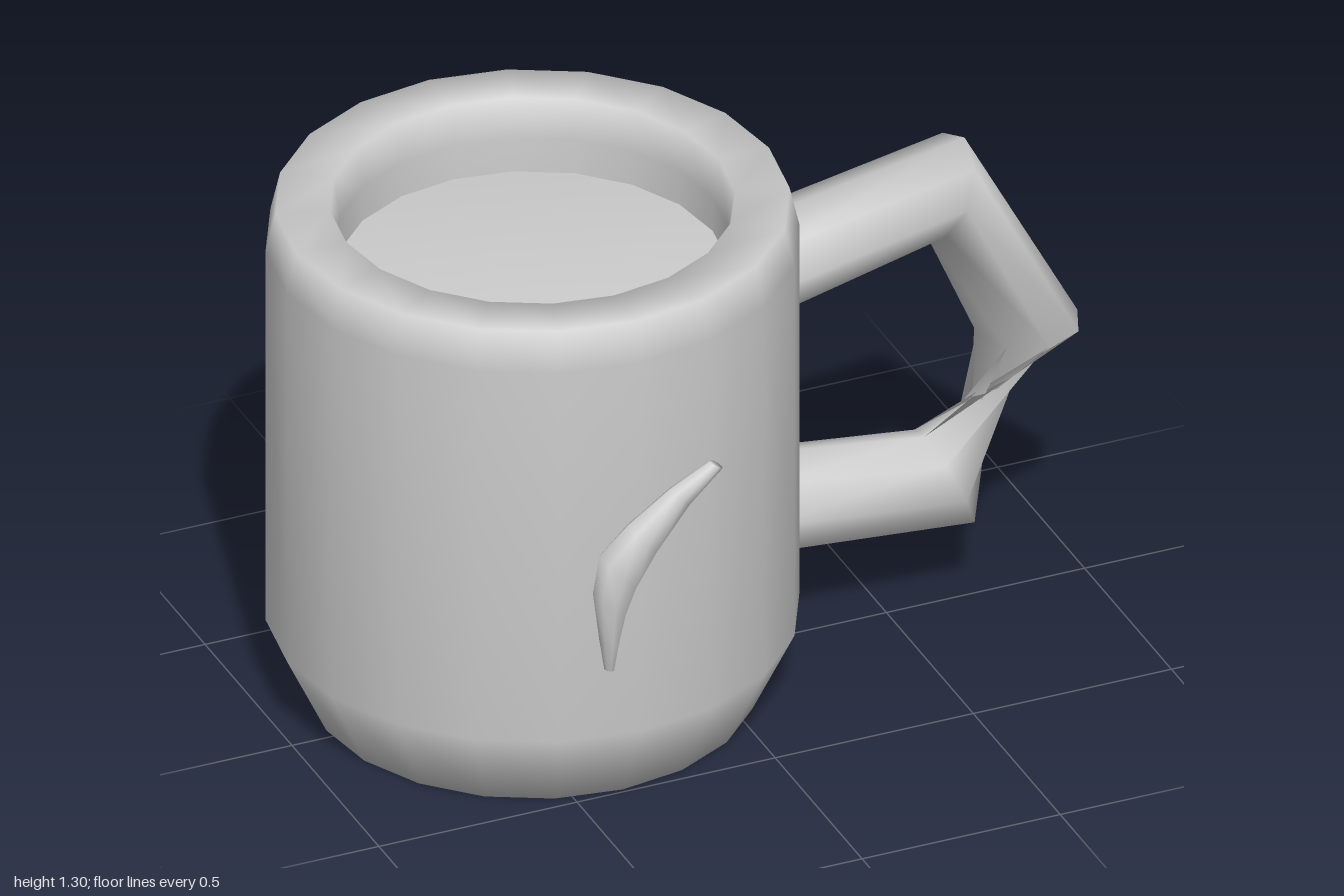
import * as THREE from 'three';

const SIDES = 8;

// Smooth tube through rings: [outerX, outerY, innerX, innerY, z, depth, turn]
function loft(rings) {
  const pos = [], idx = [];
  for (const [ox, oy, ix, iy, z, depth, turn = 0] of rings) {
    const cx = (ox + ix) / 2, cy = (oy + iy) / 2;
    for (let j = 0; j < SIDES; j++) {
      const a = (j / SIDES) * Math.PI * 2 + turn;
      const c = Math.cos(a);
      pos.push(cx + c * (ox - cx), cy + c * (oy - cy), z + Math.sin(a) * depth);
    }
  }
  const n = rings.length;
  for (let i = 0; i < n - 1; i++) {
    for (let j = 0; j < SIDES; j++) {
      const k = (j + 1) % SIDES;
      const a = i * SIDES + j, b = i * SIDES + k;
      idx.push(a, b, a + SIDES, b, b + SIDES, a + SIDES);
    }
  }
  // end caps
  const last = (n - 1) * SIDES;
  for (let j = 1; j < SIDES - 1; j++) {
    idx.push(0, j + 1, j, last, last + j, last + j + 1);
  }
  const g = new THREE.BufferGeometry();
  g.setAttribute('position', new THREE.Float32BufferAttribute(pos, 3));
  g.setIndex(idx);
  g.computeVertexNormals();
  return g;
}

function turned(profile) {
  return new THREE.LatheGeometry(profile.map(([r, y]) => new THREE.Vector2(r, y)), 20);
}

export function createModel() {
  const group = new THREE.Group();
  const clay = new THREE.MeshStandardMaterial({ color: 0xcccccc, side: THREE.DoubleSide });
  clay.name = 'light grey';

  const add = (name, geometry, x = 0, z = 0) => {
    const mesh = new THREE.Mesh(geometry, clay);
    mesh.name = name;
    mesh.position.set(x, 0, z);
    group.add(mesh);
  };

  // Mug wall, with chamfered foot and thick rim
  add('mugBody', turned([
    [0, 0], [0.52, 0], [0.62, 0.21], [0.62, 1.2], [0.597, 1.3],
    [0.47, 1.3], [0.455, 1.2], [0.455, 1.05],
  ]), -0.38, -0.03);

  // Drink filling the mug
  add('drink', turned([[0.455, 1.05], [0.455, 1.11], [0, 1.11]]), -0.38, -0.03);

  // Angular handle, pinched by a half turn above its lower arm
  const z = -0.03, w = 0.13;
  add('handle', loft([
    [0.15, 1.112, 0.15, 0.86, z, w],
    [0.71, 1.21, 0.61, 0.98, z, w],
    [0.995, 0.68, 0.74, 0.68, z, w],
    [0.71, 0.195, 0.61, 0.43, z, w, Math.PI],
    [0.15, 0.237, 0.15, 0.49, z, w, Math.PI],
  ]));

  // Raised crescent on the front
  add('crescent', loft([
    [-0.2, 0.887, -0.17, 0.868, 0.582, -0.018],
    [-0.31, 0.848, -0.26, 0.8, 0.6, -0.025],
    [-0.42, 0.785, -0.35, 0.7, 0.613, -0.037],
    [-0.495, 0.72, -0.4, 0.615, 0.615, -0.04],
    [-0.508, 0.62, -0.425, 0.55, 0.61, -0.037],
    [-0.49, 0.49, -0.442, 0.47, 0.605, -0.025],
    [-0.475, 0.405, -0.45, 0.398, 0.6, -0.01],
  ]));

  return group;
}
